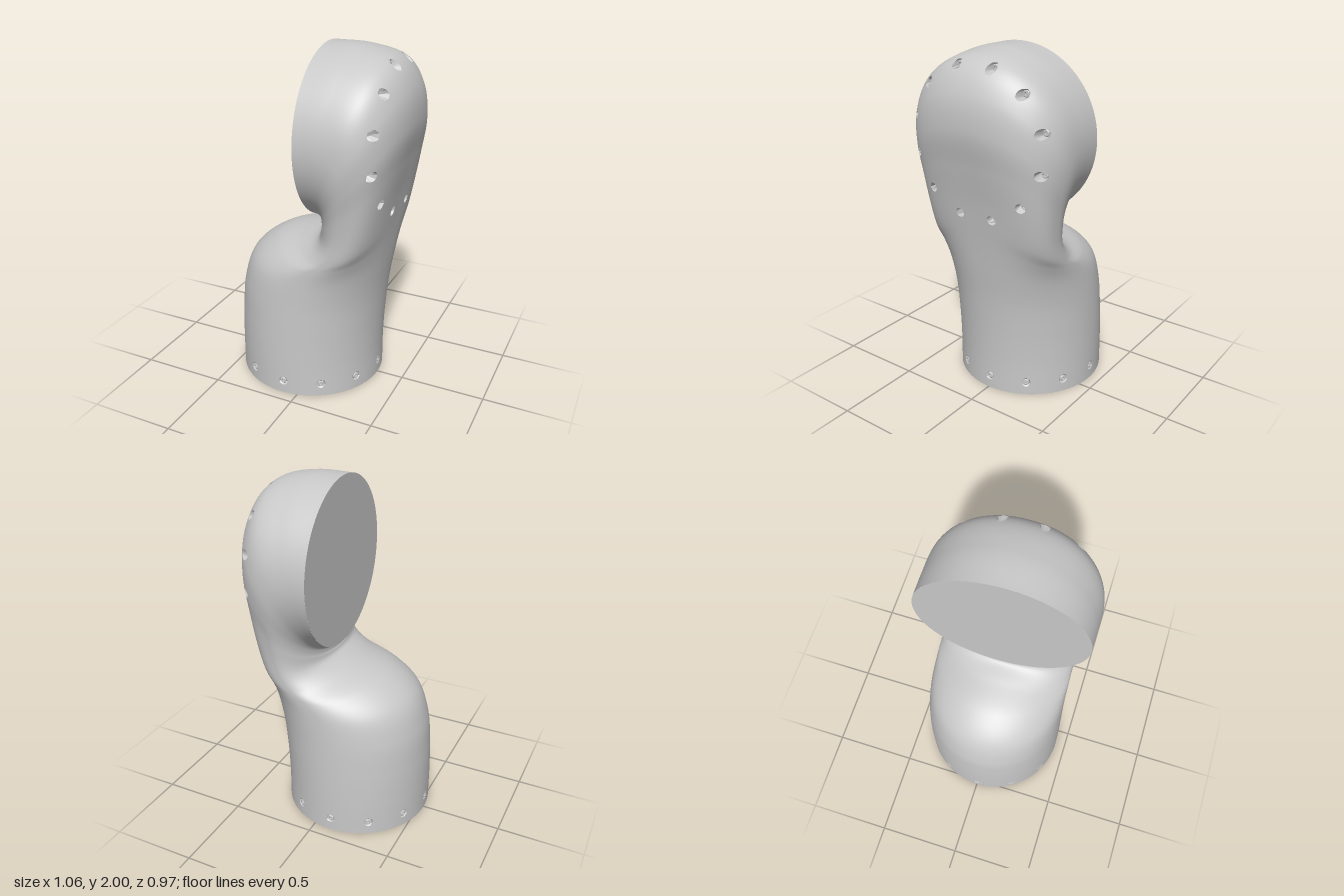
import * as THREE from 'three';
import { toCreasedNormals } from 'three/addons/utils/BufferGeometryUtils.js';

const TILT = 0.03;            // slight yaw of the head
const HOLE = 0.028;           // bolt pocket radius
const BASE_X = -0.096;
const HEAD_Y = 1.5175;

// Cross-sections: [inner x, inner y, outer x, outer y, half width, squareness]
const SECTIONS = [
  [-0.53, 0, 0.338, 0, 0.435, 2],
  [-0.53, 0.2, 0.338, 0.2, 0.433, 2],
  [-0.524, 0.4, 0.346, 0.4, 0.428, 2.05],
  [-0.503, 0.595, 0.362, 0.6, 0.421, 2.15],
  [-0.435, 0.768, 0.387, 0.79, 0.415, 2.35],
  [-0.28, 0.886, 0.408, 0.945, 0.411, 2.6],
  [-0.09, 0.942, 0.427, 1.07, 0.409, 2.8],
  [0.015, 0.97, 0.452, 1.22, 0.412, 2.9],
  [0.038, 0.998, 0.49, 1.41, 0.43, 2.7],
  [0.042, 1.012, 0.525, 1.61, 0.456, 2.3],
  [0.042, 1.022, 0.503, 1.8, 0.477, 2.15],
  [0.036, 1.028, 0.407, 1.942, 0.485, 2.15],
  [0.025, 1.033, 0.22, 1.996, 0.485, 2.02],
  [0.013, 1.035, 0.013, 2.0, 0.485, 2],
];

// Crease at true scale: the helper merges points on a coarse grid
function crease(geo, angle) {
  geo.scale(100, 100, 100);
  const out = toCreasedNormals(geo, angle);
  out.scale(0.01, 0.01, 0.01);
  return out;
}

// Smooth sweep from the upright base ring to the sideways head ring
function sweepGeometry() {
  const rows = (SECTIONS.length - 1) * 16, cols = 220;
  const curve = (a, b, c) => new THREE.CatmullRomCurve3(
    SECTIONS.map((s) => new THREE.Vector3(s[a], s[b], s[c])), false, 'catmullrom', 0.5);
  const innerCurve = curve(0, 1, 4), outerCurve = curve(2, 3, 5);
  const pos = [], index = [];
  for (let i = 0; i <= rows; i++) {
    const u = i / rows;
    const a = innerCurve.getPoint(u), b = outerCurve.getPoint(u);
    const yaw = TILT * THREE.MathUtils.smoothstep(u, 0.5, 0.95);
    // sides of the sections hang down to round the shoulder
    const droop = i === 0 || i === rows ? 0 : 0.12 * Math.exp(-(((u - 0.45) / 0.16) ** 2));
    for (let j = 0; j < cols; j++) {
      const th = (j / cols) * Math.PI * 2;
      let c = Math.cos(th), s = Math.sin(th);
      if (c > 0) {                       // outer half is a little squarer
        c = Math.pow(c, 2 / b.z);
        s = Math.sign(s) * Math.pow(Math.abs(s), 2 / b.z);
      }
      const z = a.z * s;
      pos.push((a.x + b.x) / 2 + ((b.x - a.x) / 2) * c + yaw * z,
        (a.y + b.y) / 2 + ((b.y - a.y) / 2) * c - droop * s * s, z);
      if (i < rows) {
        const k = i * cols + j, n = i * cols + ((j + 1) % cols);
        index.push(k, k + cols, n, n, k + cols, n + cols);
      }
    }
  }
  const geo = new THREE.BufferGeometry();
  geo.setAttribute('position', new THREE.Float32BufferAttribute(pos, 3));
  geo.setIndex(index);
  geo.computeVertexNormals();
  return geo;
}

// Sink a round flat-bottomed pocket along an axis; returns its floor centre
function sinkPocket(geo, origin, dir, depth) {
  const P = geo.attributes.position, N = geo.attributes.normal;
  const p = new THREE.Vector3(), n = new THREE.Vector3(), radial = new THREE.Vector3();
  const near = [];
  let best = Infinity, surface = 0;
  for (let i = 0; i < P.count; i++) {
    n.fromBufferAttribute(N, i);
    if (n.dot(dir) < 0.2) continue;
    p.fromBufferAttribute(P, i).sub(origin);
    const t = p.dot(dir);
    if (t < 0) continue;
    const d = radial.copy(p).addScaledVector(dir, -t).length();
    if (d < best) { best = d; surface = t; }
    if (d < HOLE) near.push(i);
  }
  const floor = surface - depth;
  for (const i of near) {
    p.fromBufferAttribute(P, i).sub(origin);
    n.fromBufferAttribute(N, i);
    let t = p.dot(dir);
    radial.copy(p).addScaledVector(dir, -t);
    const d = radial.length();
    if (d > HOLE * 0.5) {                // rim, slid along the surface
      const k = HOLE / d;
      t -= (n.dot(radial) * (k - 1)) / n.dot(dir);
      radial.multiplyScalar(k);
    } else {                             // floor
      radial.multiplyScalar(1.9);
      t = floor;
    }
    p.copy(origin).addScaledVector(dir, t).add(radial);
    P.setXYZ(i, p.x, p.y, p.z);
  }
  return origin.clone().addScaledVector(dir, floor);
}

export function createModel() {
  const group = new THREE.Group();
  const grey = new THREE.MeshStandardMaterial({ color: 0xc8c8c8 });
  grey.name = 'grey';
  const add = (name, geo) => {
    const m = new THREE.Mesh(geo, grey);
    m.name = name;
    group.add(m);
    return m;
  };

  // Socket-head bolt
  const boltGeo = crease(new THREE.LatheGeometry(
    [[0.019, 0], [0.019, 0.011], [0.016, 0.014], [0.009, 0.014], [0.009, 0.004], [0, 0.004]]
      .map(([x, y]) => new THREE.Vector2(x, y)), 16), 0.6);
  const up = new THREE.Vector3(0, 1, 0);
  const addBolt = (name, at, dir) => {
    const bolt = add(name, boltGeo);
    bolt.position.copy(at);
    bolt.quaternion.setFromUnitVectors(up, dir);
  };

  // Body with twelve bolts round the base and twelve on the head
  const body = sweepGeometry();
  const headDir = new THREE.Vector3(1, 0, -TILT).normalize();
  for (let k = 0; k < 12; k++) {
    const a = THREE.MathUtils.degToRad(k * 30 - 1.5);
    const dir = new THREE.Vector3(Math.cos(a), 0, Math.sin(a));
    addBolt('baseBolt', sinkPocket(body, new THREE.Vector3(BASE_X, 0.08, 0), dir, 0.015), dir);

    const b = THREE.MathUtils.degToRad(k * 30 + 15);
    const o = new THREE.Vector3(0.1, 1.522 + 0.411 * Math.cos(b), 0.411 * Math.sin(b));
    addBolt('headBolt', sinkPocket(body, o, headDir, 0.05), headDir);
  }
  add('body', crease(body, 0.6));

  // Flat end faces
  const bottom = new THREE.CircleGeometry(1, 96);
  bottom.rotateX(Math.PI / 2);
  bottom.scale(0.434, 1, 0.435);
  add('baseFace', bottom).position.set(BASE_X, 0, 0);

  const face = new THREE.CircleGeometry(1, 96);
  face.scale(0.485, 0.4825, 1);
  face.rotateY(-Math.PI / 2 + TILT);
  add('headFace', face).position.set(0.013, HEAD_Y, 0);

  return group;
}
